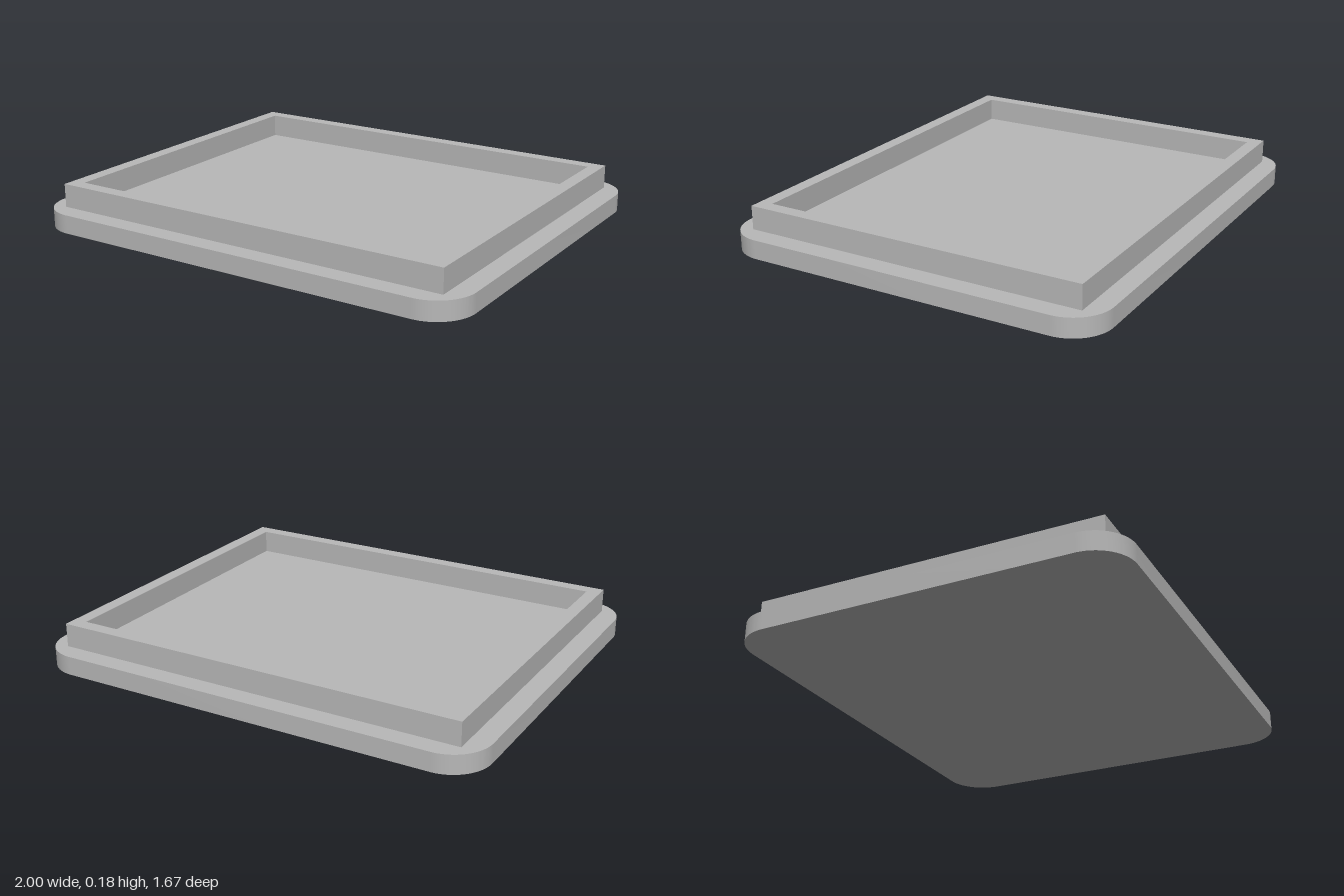
import * as THREE from 'three';
import { toCreasedNormals } from 'three/addons/utils/BufferGeometryUtils.js';

const BASE_H = 0.081, TOTAL_H = 0.183;

// Rectangle outline with optional rounded corners, centred on the origin
function outline(path, hx, hz, r = 0) {
  if (r === 0) {
    path.moveTo(-hx, -hz).lineTo(hx, -hz).lineTo(hx, hz).lineTo(-hx, hz).closePath();
    return path;
  }
  path.moveTo(-hx + r, -hz);
  path.absarc(hx - r, -hz + r, r, -Math.PI / 2, 0);
  path.absarc(hx - r, hz - r, r, 0, Math.PI / 2);
  path.absarc(-hx + r, hz - r, r, Math.PI / 2, Math.PI);
  path.absarc(-hx + r, -hz + r, r, Math.PI, Math.PI * 1.5);
  return path;
}

// Extrude a plan shape upward from height y
function slab(name, shape, y, height, material) {
  const geometry = new THREE.ExtrudeGeometry(shape, { depth: height, bevelEnabled: false, curveSegments: 16 });
  geometry.rotateX(-Math.PI / 2);
  const mesh = new THREE.Mesh(toCreasedNormals(geometry, 0.5), material);
  mesh.name = name;
  mesh.position.y = y;
  return mesh;
}

export function createModel() {
  const grey = new THREE.MeshStandardMaterial({ color: 0xb8b8b8 });
  grey.name = 'plain grey';

  const group = new THREE.Group();
  group.name = 'lid';

  // Flat plate with rounded corners
  group.add(slab('basePlate', outline(new THREE.Shape(), 1, 0.837, 0.17), 0, BASE_H, grey));

  // Square-cornered raised rim, open in the middle
  const rim = outline(new THREE.Shape(), 0.912, 0.752);
  rim.holes.push(outline(new THREE.Path(), 0.853, 0.693));
  group.add(slab('raisedRim', rim, BASE_H, TOTAL_H - BASE_H, grey));

  return group;
}
